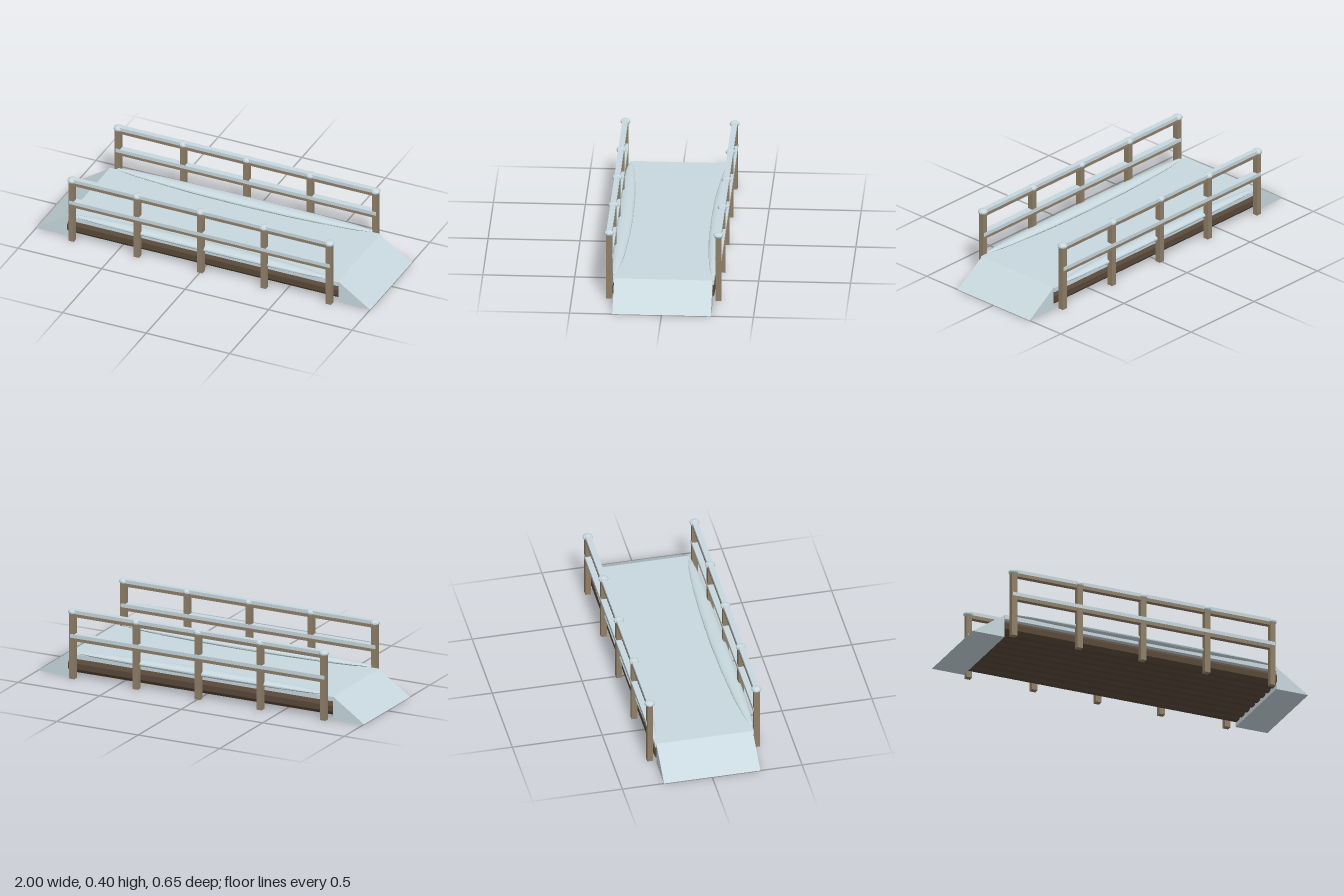
import * as THREE from 'three';

function material(name, color) {
  const m = new THREE.MeshStandardMaterial({ color, flatShading: true });
  m.name = name;
  return m;
}

export function createModel() {
  const model = new THREE.Group();
  model.name = 'snowyBridge';
  const snow = material('snow', 0xc8d8de);
  const wood = material('wood', 0x8f7f69);
  const bark = material('darkLog', 0x584839);

  function add(name, geometry, mat, x = 0, y = 0, z = 0) {
    const mesh = new THREE.Mesh(geometry, mat);
    mesh.name = name;
    mesh.position.set(x, y, z);
    model.add(mesh);
    return mesh;
  }
  // box given by its bottom and top heights
  const slab = (name, mat, w, y0, y1, d, x = 0, z = 0) =>
    add(name, new THREE.BoxGeometry(w, y1 - y0, d), mat, x, (y0 + y1) / 2, z);

  // row of logs under the deck
  const logs = 8;
  for (let i = 0; i < logs; i++) {
    const g = new THREE.CylinderGeometry(0.043, 0.043, 1.62, 8);
    g.rotateY(Math.PI / 8).rotateZ(Math.PI / 2);
    add('deckLog', g, bark, 0, 0.062, -0.2375 + (0.475 * i) / (logs - 1));
  }

  // snow covering the deck
  slab('deckSnow', snow, 1.62, 0.105, 0.13, 0.55);

  // sloping ramps at both ends
  for (const s of [-1, 1]) {
    const shape = new THREE.Shape();
    shape.moveTo(s * 0.81, 0);
    shape.lineTo(s, 0);
    shape.lineTo(s * 0.81, 0.13);
    shape.closePath();
    const g = new THREE.ExtrudeGeometry(shape, { depth: 0.536, bevelEnabled: false });
    add(s > 0 ? 'leftRamp' : 'rightRamp', g, snow, 0, 0, -0.268);
  }

  for (const s of [-1, 1]) {
    const z = s * 0.297;

    // long snow drift, bending outward towards its tips
    const drift = new THREE.IcosahedronGeometry(1, 2);
    const p = drift.attributes.position;
    for (let i = 0; i < p.count; i++) {
      const x = p.getX(i);
      p.setXYZ(i, x * 0.78, p.getY(i) * 0.02, p.getZ(i) * 0.043 + s * 0.015 * x * x);
    }
    drift.computeVertexNormals();
    add('snowDrift', drift, snow, 0, 0.139, s * 0.254);

    // posts with snow caps
    for (const x of [-0.77, -0.38, 0, 0.38, 0.77]) {
      slab('post', wood, 0.032, 0, 0.372, 0.032, x, z);
      const cap = new THREE.IcosahedronGeometry(1, 1);
      cap.scale(0.028, 0.0175, 0.028);
      add('postSnowCap', cap, snow, x, 0.381, z);
    }

    // handrail and middle rail, each topped with snow
    slab('handrail', wood, 1.56, 0.355, 0.374, 0.028, 0, z);
    slab('handrailSnow', snow, 1.56, 0.374, 0.394, 0.031, 0, z);
    slab('middleRail', wood, 1.56, 0.217, 0.236, 0.028, 0, z);
    slab('middleRailSnow', snow, 1.56, 0.236, 0.257, 0.037, 0, z);
  }
  return model;
}
